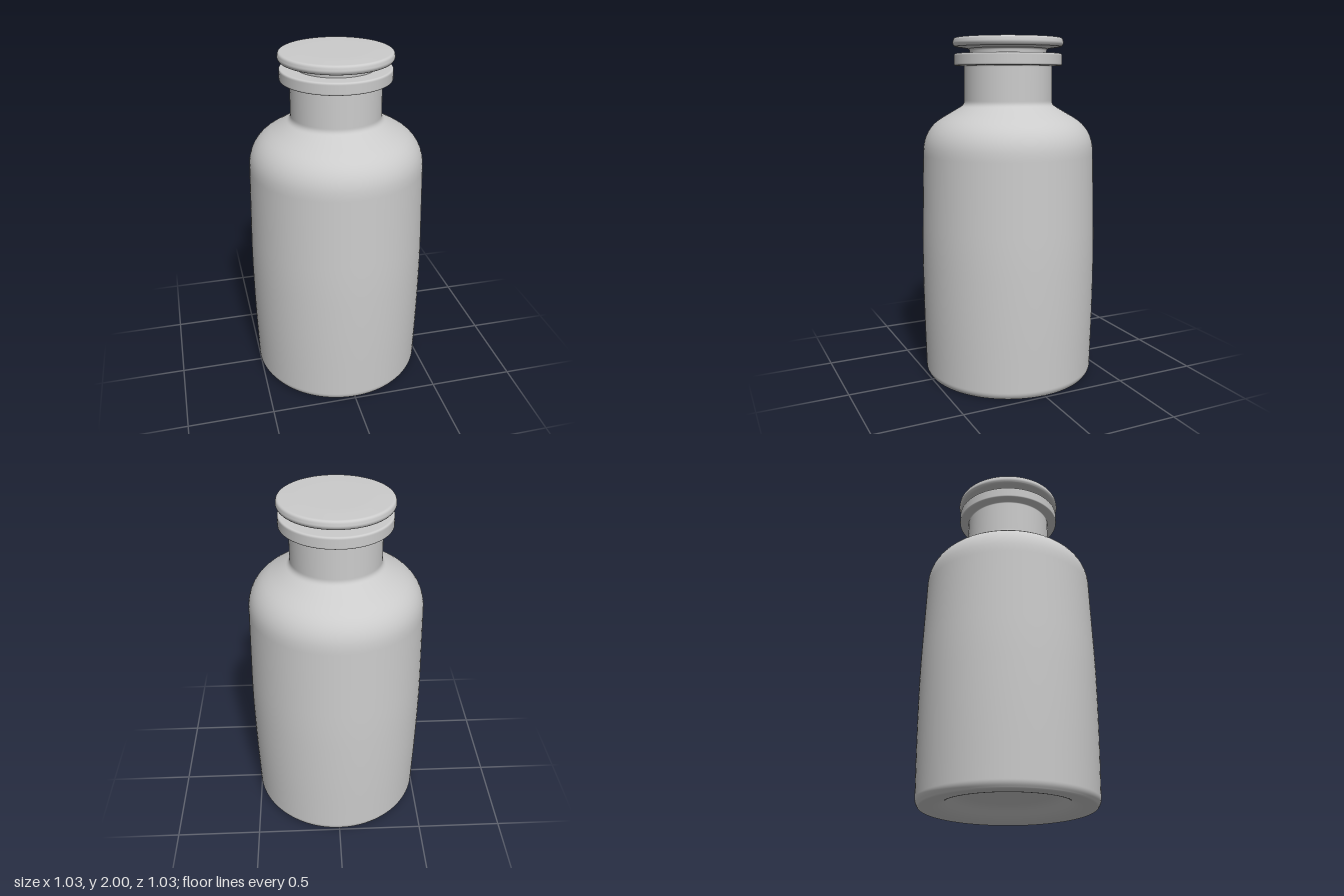
import * as THREE from 'three';

// Profile of [radius, height, corner rounding] rows, with each corner softened by a curve
function roundedProfile(rows) {
  const v = rows.map(([x, y]) => new THREE.Vector2(x, y));
  const out = [v[0]];
  for (let i = 1; i < v.length - 1; i++) {
    const toward = (p, d) => v[i].clone().add(p.clone().sub(v[i]).setLength(d));
    const r = rows[i][2];
    // guard points just outside the curve keep the straight runs evenly shaded
    out.push(toward(v[i - 1], r * 1.15));
    out.push(...new THREE.QuadraticBezierCurve(toward(v[i - 1], r), v[i], toward(v[i + 1], r)).getPoints(8));
    out.push(toward(v[i + 1], r * 1.15));
  }
  out.push(v[v.length - 1]);
  return out;
}

function turned(name, rows, material) {
  const mesh = new THREE.Mesh(new THREE.LatheGeometry(roundedProfile(rows), 96), material);
  mesh.name = name;
  return mesh;
}

export function createModel() {
  const group = new THREE.Group();
  group.name = 'stopperedBottle';
  const material = new THREE.MeshStandardMaterial({ color: 0xcccccc });

  // Bottle: hollowed base, slightly bulging wall, shoulder, neck, lip and bore
  group.add(turned('bottle', [
    [0, 0.08],
    [0.27, 0.08, 0.04],
    [0.385, 0, 0.05],
    [0.487, 0, 0.008],
    [0.505, 0.028, 0.015],
    [0.515, 0.45, 0.2],
    [0.515, 0.8, 0.12],
    [0.495, 1.48, 0.13],
    [0.257, 1.618, 0.022],
    [0.255, 1.84, 0.008],
    [0.312, 1.84, 0.01],
    [0.312, 1.908, 0.012],
    [0.215, 1.908, 0.01],
    [0.205, 1.62],
  ], material));

  // Stopper: plug seated in the neck under a broad flat head
  group.add(turned('stopper', [
    [0, 1.64],
    [0.2, 1.64, 0.01],
    [0.224, 1.935, 0.012],
    [0.31, 1.947, 0.008],
    [0.32, 1.965, 0.008],
    [0.314, 1.996, 0.014],
    [0.2, 2, 0.03],
    [0, 2],
  ], material));

  return group;
}
